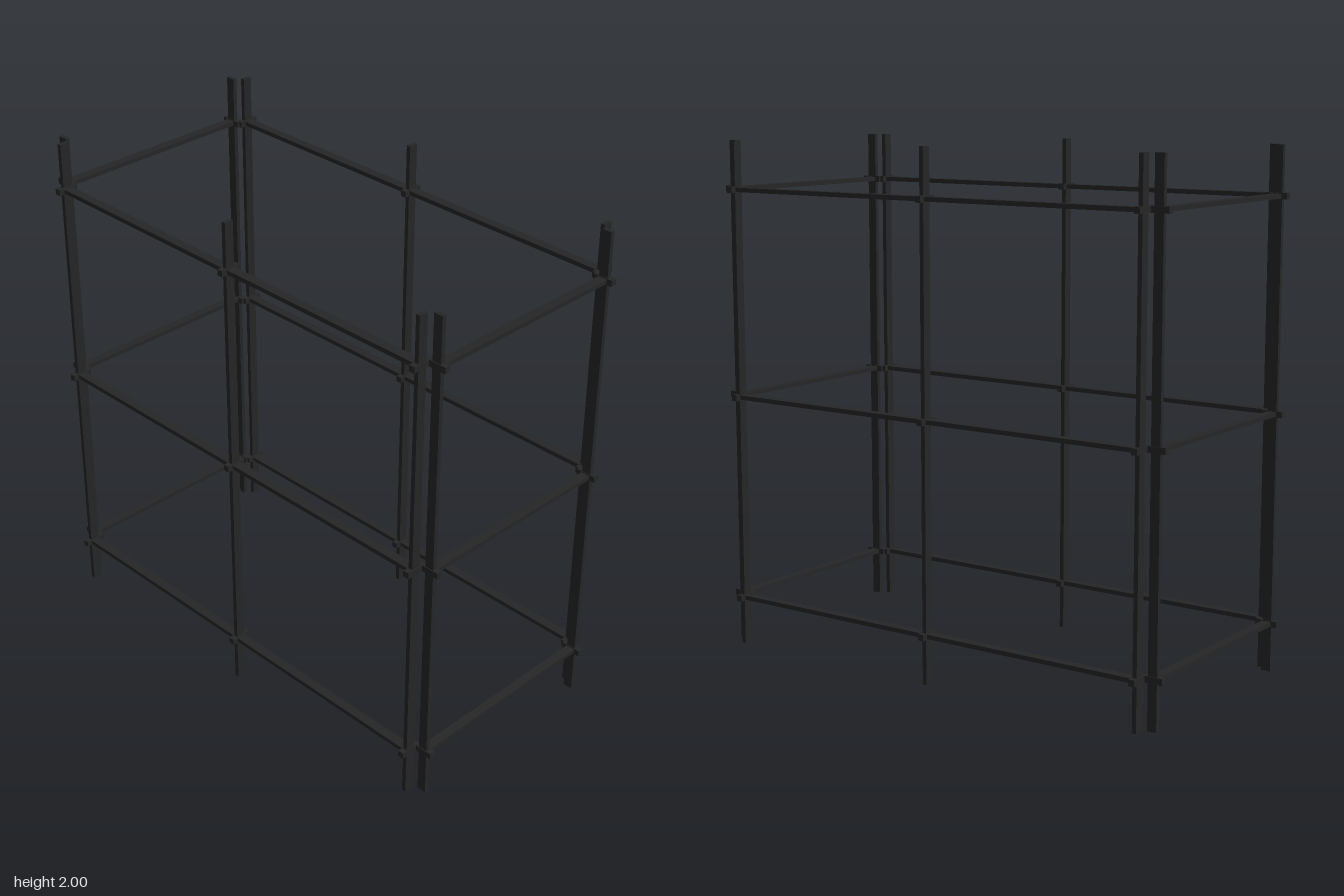
import * as THREE from 'three';

export function createModel() {
  const model = new THREE.Group();
  model.name = 'shelfFrame';
  const steel = new THREE.MeshStandardMaterial({ color: 0x262626 });
  steel.name = 'blackSteel';

  const levels = [0.188, 1.0, 1.812];
  const thin = 0.017, wide = 0.037;

  function box(parent, name, w, h, d, x, y, z) {
    const mesh = new THREE.Mesh(new THREE.BoxGeometry(w, h, d), steel);
    mesh.name = name;
    mesh.position.set(x, y, z);
    parent.add(mesh);
  }

  // One flat frame lying in the local xy plane: posts, rails and cross clamps
  function makeFrame(name, postXs, railLength, clampDepth) {
    const frame = new THREE.Group();
    frame.name = name;
    for (const x of postXs) {
      box(frame, 'post', thin, 2, wide, x, 1, 0);
      for (const y of levels) box(frame, 'clamp', 0.024, 0.024, clampDepth, x, y, 0);
    }
    for (const y of levels) box(frame, 'rail', railLength, thin, wide, 0, y, 0);
    model.add(frame);
    return frame;
  }

  // Long front and back frames with a middle post
  for (const s of [1, -1]) {
    const frame = makeFrame(s > 0 ? 'frontFrame' : 'backFrame', [-0.917, 0, 0.917], 1.834, 0.082);
    frame.position.z = s * 0.461;
  }

  // Short end frames, turned to face sideways
  for (const s of [1, -1]) {
    const frame = makeFrame(s > 0 ? 'leftFrame' : 'rightFrame', [-0.422, 0.422], 0.844, 0.082);
    frame.rotation.y = Math.PI / 2;
    frame.position.x = s * 0.959;
  }

  return model;
}
